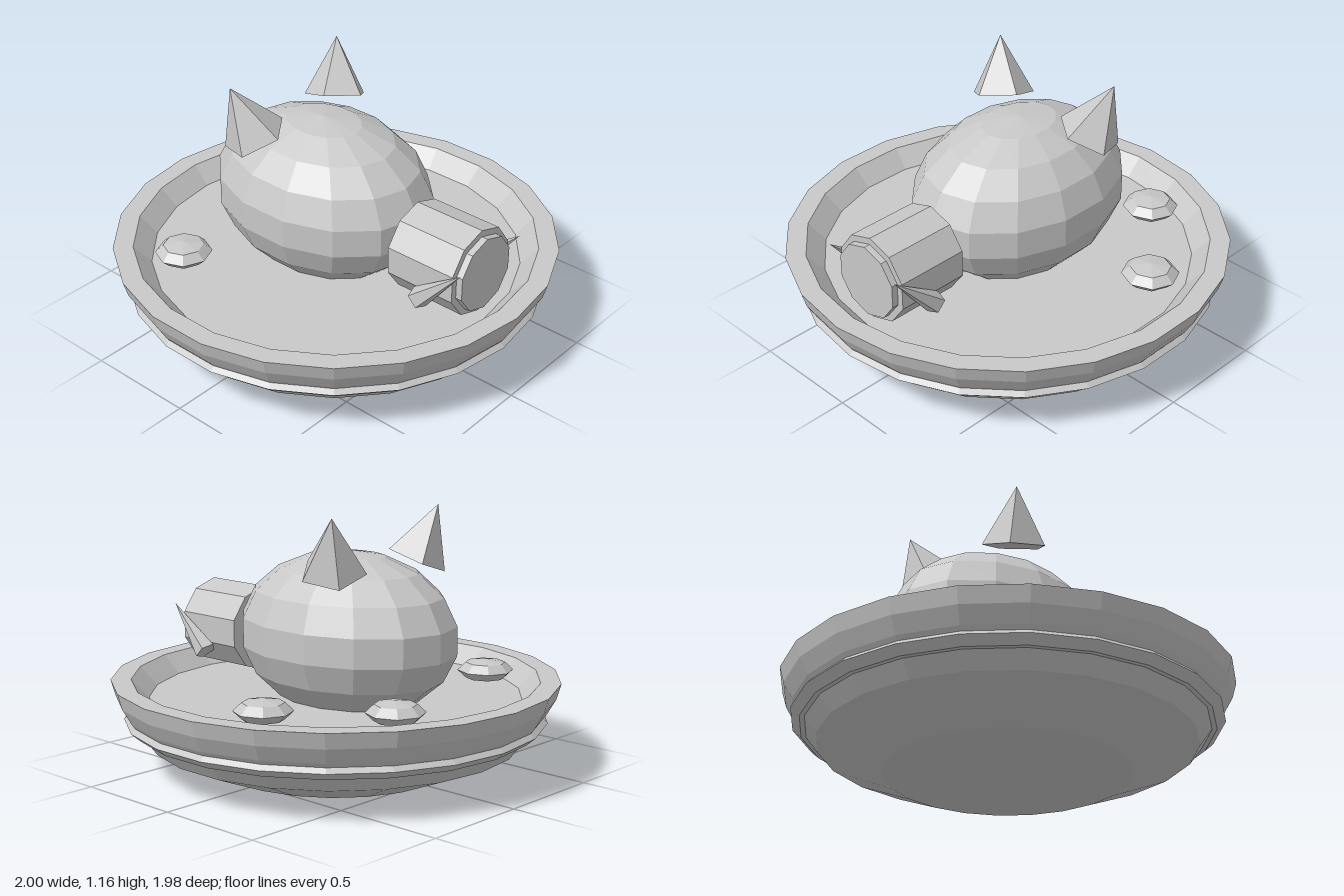
import * as THREE from 'three';

const SIDES = 22;

export function createModel() {
  const model = new THREE.Group();
  const grey = new THREE.MeshStandardMaterial({ color: 0xc8c8c8, flatShading: true });
  grey.name = 'plain grey';

  function add(name, geometry, x = 0, y = 0, z = 0) {
    const mesh = new THREE.Mesh(geometry, grey);
    mesh.name = name;
    mesh.position.set(x, y, z);
    model.add(mesh);
    return mesh;
  }

  // Lathe with a corner on the x axis
  function turned(points) {
    return new THREE.LatheGeometry(points.map(([r, y]) => new THREE.Vector2(r, y)), SIDES, Math.PI / 2);
  }

  // Flat-sided ellipsoid
  function ellipsoid(rx, ry, rz, around, rows) {
    return new THREE.SphereGeometry(1, around, rows).scale(rx, ry, rz);
  }

  // Cone pointing from a base centre to a tip
  function spike(name, base, tip, radius, start) {
    const axis = new THREE.Vector3(...tip).sub(new THREE.Vector3(...base));
    const geometry = new THREE.ConeGeometry(radius, axis.length(), 5, 1, false, start);
    geometry.translate(0, axis.length() / 2, 0);
    const mesh = add(name, geometry, ...base);
    mesh.quaternion.setFromUnitVectors(new THREE.Vector3(0, 1, 0), axis.normalize());
  }

  // Bowl with a flat rim and a raised band
  add('bowl', turned([[0, 0], [0.54, 0], [0.83, 0.12], [0.94, 0.265], [0.98, 0.335], [1, 0.405], [0.91, 0.405], [0.832, 0.322]]));
  add('bowlBand', turned([[0.87, 0.19], [0.905, 0.19], [0.945, 0.225], [0.925, 0.247], [0.88, 0.247]]));
  add('filling', new THREE.CircleGeometry(0.832, SIDES).rotateX(-Math.PI / 2), 0, 0.322, 0);

  // Rounded body
  add('body', ellipsoid(0.54, 0.37, 0.415, 14, 9), -0.07, 0.607, 0);

  // Ten-sided snout with a smaller end plate, lying along x with a corner on top
  for (const [name, r, x0, x1] of [['snout', 0.2, 0.46, 0.8], ['snoutEnd', 0.17, 0.78, 0.83]]) {
    const barrel = new THREE.CylinderGeometry(r, r, x1 - x0, 10).rotateZ(-Math.PI / 2).rotateX(Math.PI / 2);
    add(name, barrel, (x0 + x1) / 2, 0.553, 0);
  }

  // Mirrored ears and tusks
  for (const [side, s] of [['front', 1], ['back', -1]]) {
    spike(side + 'Ear', [-0.23, 0.925, 0.264 * s], [-0.297, 1.165, 0.341 * s], 0.145, Math.PI / 2);
    spike(side + 'Tusk', [0.637, 0.45, 0.207 * s], [0.85, 0.65, 0.203 * s], 0.05, s > 0 ? Math.PI : 0);
  }

  // Flattened pieces floating in the bowl
  for (const [x, z] of [[-0.41, 0.555], [-0.625, -0.31], [-0.215, -0.66]]) {
    add('floatingPiece', ellipsoid(0.127, 0.05, 0.127, 8, 4), x, 0.4, z);
  }

  return model;
}
